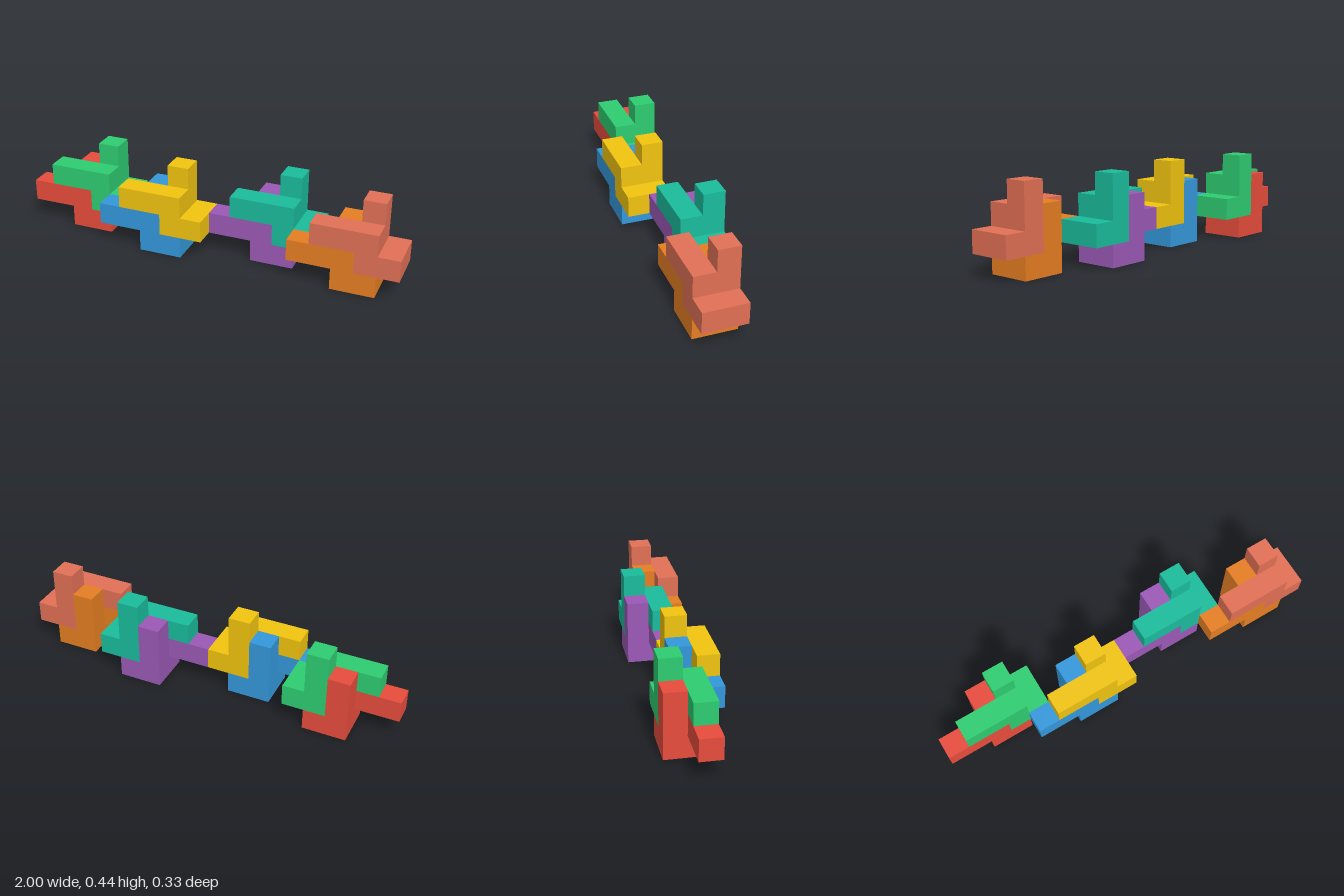
import * as THREE from 'three';
import { mergeGeometries } from 'three/addons/utils/BufferGeometryUtils.js';

const U = 1 / 9; // edge of one cube

// Bars of cubes: [x, y, z, width, height, depth] in cube units
const LOWER = [
  [0, 1, 1, 3, 1, 1], // arm
  [2, 0, 0, 2, 1, 2], // square foot
  [2, 0, 0, 1, 3, 1], // rear post
];
const UPPER = [
  [1, 2, 1, 3, 1, 1], // arm
  [3, 1, 0, 1, 3, 1], // rear post
  [3, 1, 0, 2, 1, 2], // square end
];

// Outer skin of a set of bars: one square per exposed cube face
function blockGeometry(bars) {
  const cells = new Map();
  for (const [x, y, z, w, h, d] of bars)
    for (let i = x; i < x + w; i++)
      for (let j = y; j < y + h; j++)
        for (let k = z; k < z + d; k++) cells.set(`${i},${j},${k}`, new THREE.Vector3(i, j, k));

  const dirs = [[1, 0, 0], [-1, 0, 0], [0, 1, 0], [0, -1, 0], [0, 0, 1], [0, 0, -1]]
    .map((d) => new THREE.Vector3(...d));
  const front = new THREE.Vector3(0, 0, 1);
  const faces = [];
  for (const cell of cells.values()) {
    for (const dir of dirs) {
      if (cells.has(cell.clone().add(dir).toArray().join(','))) continue;
      const turn = new THREE.Quaternion().setFromUnitVectors(front, dir);
      const c = cell.clone().addScalar(0.5).addScaledVector(dir, 0.5).multiplyScalar(U);
      faces.push(new THREE.PlaneGeometry(U, U).applyQuaternion(turn).translate(c.x, c.y, c.z));
    }
  }
  return mergeGeometries(faces);
}

export function createModel() {
  const model = new THREE.Group();
  model.name = 'interlockingBlocks';
  const lower = blockGeometry(LOWER);
  const upper = blockGeometry(UPPER);

  // Each pair: x and z offset in cubes, then the two colours
  const pairs = [
    [0, 0, 0xe74c3c, 0x2ecc71],
    [4, 1, 0x3498db, 0xf1c40f],
    [9, 0, 0x9b59b6, 0x1abc9c],
    [13, 1, 0xe67e22, 0xe17055],
  ];
  pairs.forEach(([x, z, lowerColor, upperColor], i) => {
    const pair = new THREE.Group();
    pair.name = `blockPair${i + 1}`;
    for (const [name, geometry, color] of [['lowerBlock', lower, lowerColor], ['upperBlock', upper, upperColor]]) {
      const mesh = new THREE.Mesh(geometry, new THREE.MeshStandardMaterial({ color }));
      mesh.name = name;
      pair.add(mesh);
    }
    pair.position.set((x - 9) * U, 0, (z - 1.5) * U);
    model.add(pair);
  });
  return model;
}
